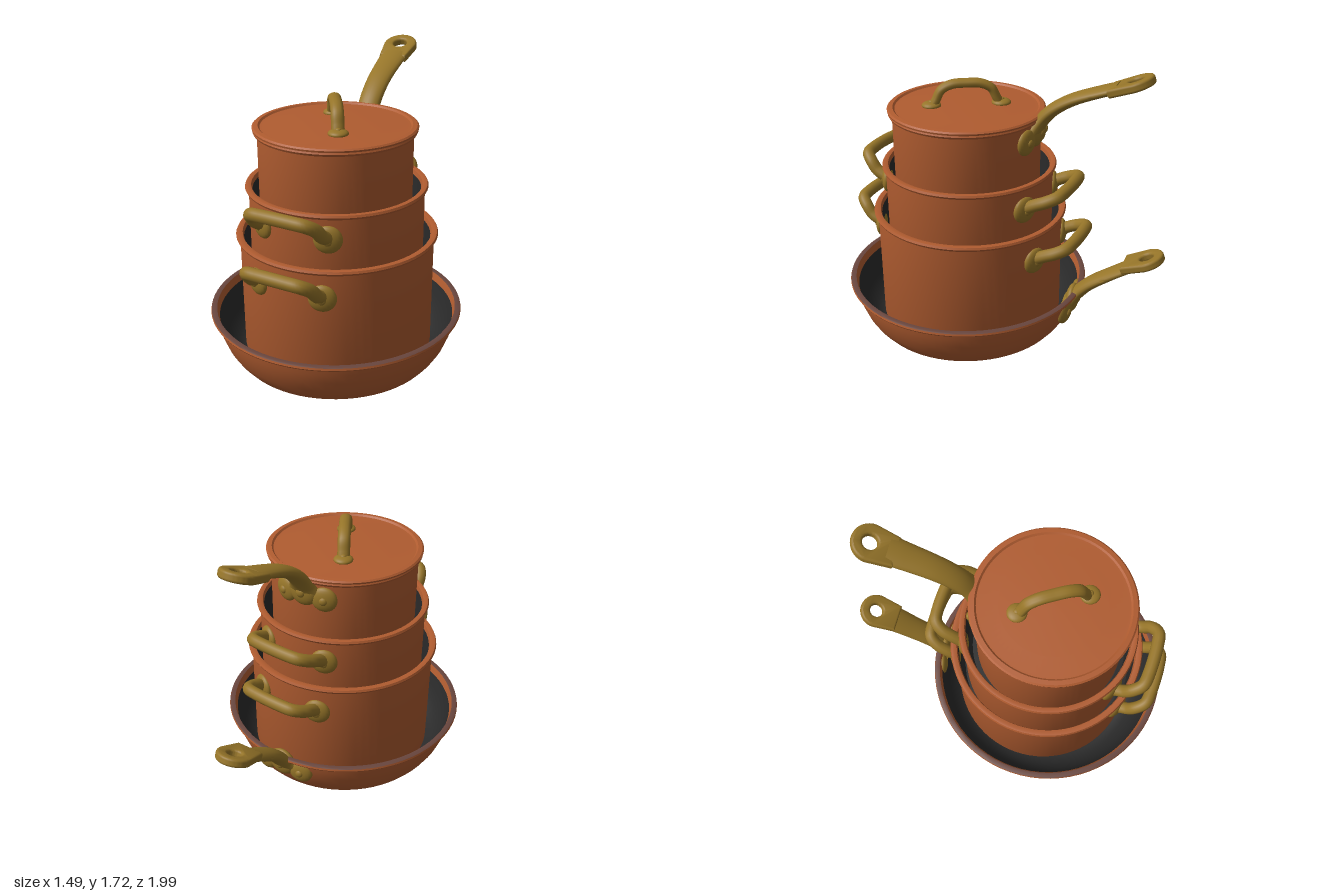
import * as THREE from 'three';
import { mergeVertices, toCreasedNormals } from 'three/addons/utils/BufferGeometryUtils.js';

const mat = (name, color) => Object.assign(new THREE.MeshStandardMaterial({ color }), { name });
const V = (x, y, z) => new THREE.Vector3(x, y, z);

export function createModel() {
  const root = new THREE.Group();
  root.name = 'stackedCookware';
  const copper = mat('copper', 0xb05c30);
  const brass = mat('brass', 0x967529);
  const dark = mat('darkLining', 0x2a2a2a);
  const rimBrown = mat('tarnishedRim', 0x69463e);

  const add = (parent, name, geo, material) => {
    const m = new THREE.Mesh(geo, material);
    m.name = name;
    parent.add(m);
    return m;
  };
  const group = (name, z = 0) => {
    const g = new THREE.Group();
    g.name = name;
    g.position.z = z;
    root.add(g);
    return g;
  };
  const lathe = (pts) => toCreasedNormals(
    new THREE.LatheGeometry(pts.map(p => new THREE.Vector2(p[0], p[1])), 72), 0.6);

  // Round mounting pad with a rivet, lying on a surface that faces dir
  const pad = (parent, pos, dir, r) => {
    const g = new THREE.Group();
    g.name = 'rivetedPad';
    g.position.copy(pos);
    g.quaternion.setFromUnitVectors(V(0, 0, 1), dir.clone().normalize());
    add(g, 'pad', new THREE.SphereGeometry(r, 24, 14), brass).scale.z = 0.42;
    const rivet = add(g, 'rivet', new THREE.SphereGeometry(r * 0.32, 14, 8), brass);
    rivet.position.z = r * 0.36;
    rivet.scale.z = 0.6;
    parent.add(g);
  };

  // Straight-walled pot with a rolled rim and dark lining
  const pot = (name, z, r, rim, y0, top, floor) => {
    const g = group(name, z);
    add(g, 'wall', lathe([[0, y0], [r - 0.05, y0], [r - 0.015, y0 + 0.015], [r, y0 + 0.05],
      [r, top - 0.03], [rim - 0.006, top - 0.026], [rim, top - 0.014], [rim - 0.006, top - 0.002],
      [rim - 0.02, top], [r - 0.015, top - 0.004], [r - 0.022, top - 0.03]]), copper);
    add(g, 'lining', lathe([[r - 0.022, top - 0.03], [r - 0.025, floor + 0.03],
      [r - 0.05, floor], [0, floor]]), dark);
    return g;
  };

  // Wide pan with curved sides
  const pan = group('widePan', 0.245);
  add(pan, 'body', lathe([[0, 0], [0.565, 0], [0.6, 0.022], [0.635, 0.065], [0.668, 0.12],
    [0.695, 0.19], [0.712, 0.25], [0.718, 0.295], [0.742, 0.297], [0.747, 0.305], [0.744, 0.316]]), copper);
  add(pan, 'rimTop', lathe([[0.744, 0.316], [0.735, 0.32], [0.712, 0.317]]), rimBrown);
  add(pan, 'innerLip', lathe([[0.712, 0.317], [0.699, 0.27]]), copper);
  add(pan, 'lining', lathe([[0.699, 0.27], [0.68, 0.19], [0.65, 0.12], [0.6, 0.05],
    [0.55, 0.025], [0, 0.025]]), dark);

  const bigPot = pot('bigPot', 0.222, 0.565, 0.588, 0.026, 0.788, 0.4);
  const middlePot = pot('middlePot', 0.222, 0.503, 0.523, 0.4, 1.078, 0.75);
  const smallPot = pot('smallPot', 0.235, 0.437, 0.46, 0.75, 1.405, 1.2);

  // Two loop handles on opposite sides of a pot
  const loopHandle = (parent, r, y, angle, reach, lift) => {
    const g = new THREE.Group();
    g.name = 'loopHandle';
    g.rotation.y = angle;
    const half = [[0.205, y, r - 0.03], [0.207, y + 0.03, r + 0.025], [0.2, y + lift * 0.65, r + reach * 0.55],
      [0.165, y + lift * 0.93, r + reach * 0.9], [0.09, y + lift, r + reach]];
    const pts = [...half.map(p => V(-p[0], p[1], p[2])), ...half.reverse().map(p => V(...p))];
    add(g, 'bar', new THREE.TubeGeometry(new THREE.CatmullRomCurve3(pts), 56, 0.037, 12), brass);
    for (const s of [-1, 1]) {
      const z = Math.sqrt(r * r - 0.205 * 0.205);
      pad(g, V(s * 0.205, y - 0.015, z), V(s * 0.205, 0, z), 0.079);
    }
    parent.add(g);
  };
  for (const [p, r, y] of [[bigPot, 0.565, 0.635], [middlePot, 0.503, 0.95]]) {
    loopHandle(p, r, y, -0.08, 0.125, 0.12);
    loopHandle(p, r, y - 0.01, Math.PI - 0.08, 0.15, 0.085);
  }

  // Long handle: an oval bar swept along a curve, ending in an eyelet
  const longHandle = (name, path, padY, radius, centreZ) => {
    const g = group(name);
    const curve = new THREE.CatmullRomCurve3(path.map(p => V(0, p[1], p[0])));
    const tip = curve.getPointAt(1);
    const tipT = curve.getTangentAt(1);
    const len = curve.getLength();
    const sEnd = 1 - 0.2 / len;
    const bar = new THREE.CylinderGeometry(1, 1, 1, 20, 32);
    const pos = bar.attributes.position;
    for (let i = 0; i < pos.count; i++) {
      const k = pos.getY(i) + 0.5;
      const c = curve.getPointAt(k * sEnd), t = curve.getTangentAt(k * sEnd);
      const w = 0.068 + 0.02 * k * k + 0.06 * Math.max(0, 1 - k / 0.22) ** 2;
      const h = 0.027 + 0.016 * (1 - k);
      const n = pos.getZ(i) * h;
      pos.setXYZ(i, pos.getX(i) * w, c.y - t.z * n, c.z + t.y * n);
    }
    bar.deleteAttribute('normal');
    bar.deleteAttribute('uv');
    add(g, 'shaft', toCreasedNormals(mergeVertices(bar), 0.9), brass);

    const shape = new THREE.Shape();
    shape.moveTo(0.074, -0.13);
    shape.lineTo(0.092, 0);
    shape.absarc(0, 0, 0.092, 0, Math.PI);
    shape.lineTo(-0.074, -0.13);
    const hole = new THREE.Path();
    hole.absellipse(0, 0.005, 0.056, 0.056, 0, Math.PI * 2, true);
    shape.holes.push(hole);
    const eye = new THREE.ExtrudeGeometry(shape, { depth: 0.02, bevelThickness: 0.015, bevelSize: 0.014,
      bevelSegments: 3, curveSegments: 20 });
    eye.translate(0, 0, -0.01);
    const m = add(g, 'eyelet', toCreasedNormals(eye, 0.8), brass);
    const X = V(1, 0, 0);
    m.quaternion.setFromRotationMatrix(new THREE.Matrix4().makeBasis(X, tipT, X.clone().cross(tipT)));
    m.position.copy(tip).addScaledVector(tipT, -0.106);

    // Flange: two side pads and a central one
    for (const x of [-0.125, 0, 0.125]) {
      const z = -Math.sqrt(radius * radius - x * x);
      pad(g, V(x, padY + (x ? 0 : 0.03), centreZ + z), V(x, 0, z), x ? 0.076 : 0.09);
    }
  };
  longHandle('panHandle', [[-0.44, 0.235], [-0.49, 0.3], [-0.56, 0.375], [-0.68, 0.465],
    [-0.82, 0.56], [-0.92, 0.615], [-0.99, 0.645]], 0.22, 0.7, 0.245);
  longHandle('smallPotHandle', [[-0.18, 1.3], [-0.225, 1.375], [-0.29, 1.45], [-0.4, 1.525],
    [-0.58, 1.6], [-0.74, 1.655], [-0.855, 1.7]], 1.285, 0.437, 0.235);

  // Lid with a raised edge and an arched grip
  const lid = group('lid', 0.235);
  add(lid, 'lidDisc', lathe([[0.43, 1.398], [0.462, 1.402], [0.464, 1.412], [0.455, 1.42], [0.43, 1.422],
    [0.42, 1.412], [0.405, 1.412], [0.3, 1.418], [0, 1.423]]), copper);
  const grip = new THREE.Group();
  grip.name = 'lidGrip';
  grip.rotation.y = Math.atan2(0.2, 0.36);
  const arch = [[-0.195, 1.42], [-0.175, 1.46], [-0.145, 1.515], [-0.085, 1.545], [0, 1.55],
    [0.085, 1.545], [0.145, 1.515], [0.175, 1.46], [0.195, 1.42]].map(p => V(0, p[1], p[0]));
  add(grip, 'arch', new THREE.TubeGeometry(new THREE.CatmullRomCurve3(arch), 48, 0.027, 12), brass).scale.x = 1.35;
  for (const s of [-1, 1]) pad(grip, V(0, 1.424, s * 0.205), V(0, 1, 0), 0.057);
  lid.add(grip);

  return root;
}
